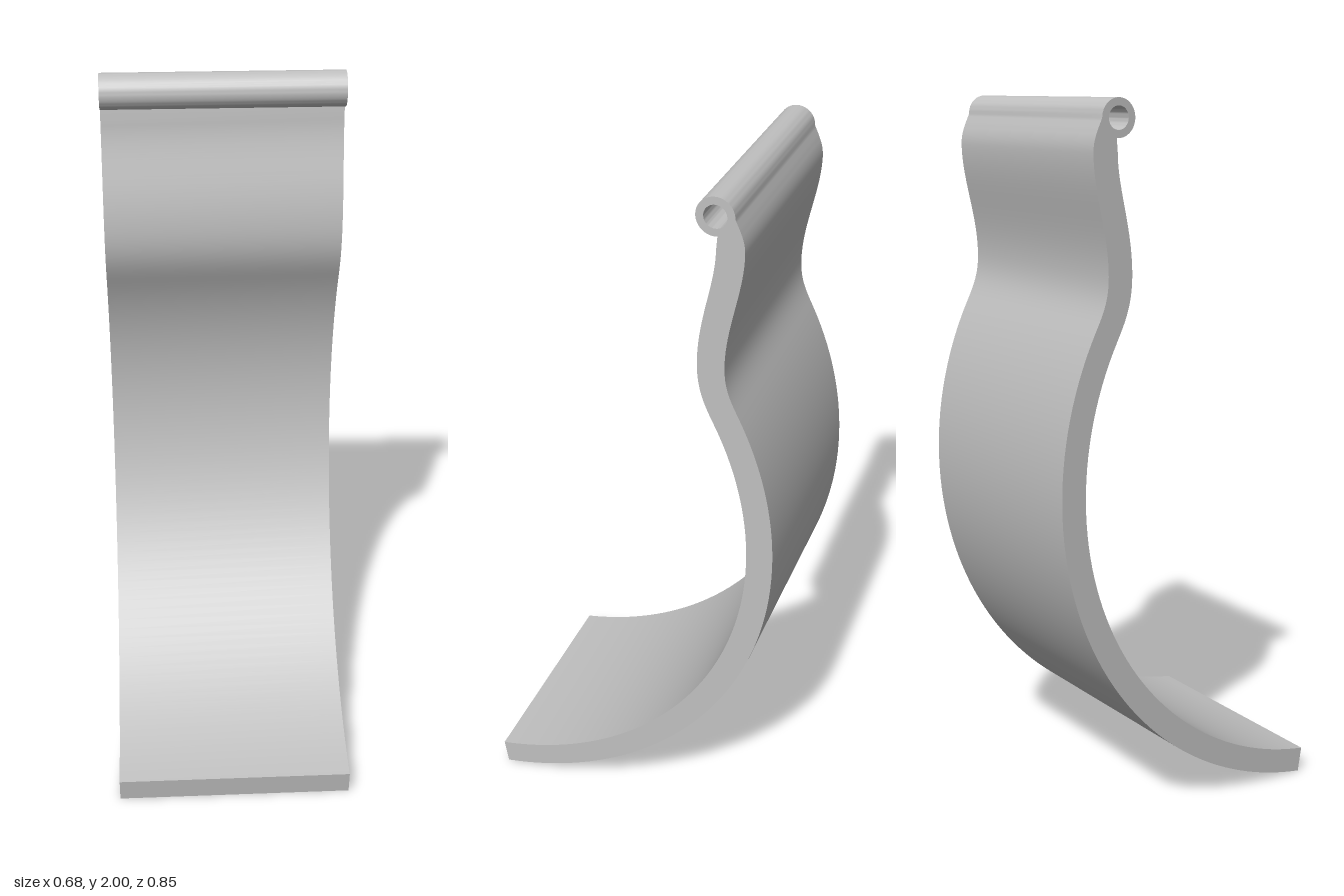
import * as THREE from 'three';
import { toCreasedNormals } from 'three/addons/utils/BufferGeometryUtils.js';

const WIDTH = 0.684, THICK = 0.073;

// Centre line of the strip in the side plane (x = backward, y = up)
function centreLine() {
  const v = (x, y) => new THREE.Vector2(x, y);
  const R = 0.9465, cx = -0.558, cy = 0.97;
  const a0 = Math.atan2(-0.972, 0.146), a1 = Math.asin(0.43 / R);
  const end = v(cx + R * Math.cos(a1), cy + R * Math.sin(a1));
  const path = new THREE.CurvePath();
  const big = new THREE.EllipseCurve(cx, cy, R, R, a0, a1);
  const bend = new THREE.CubicBezierCurve(
    end, v(end.x - 0.027, end.y + 0.053), v(0.242, 1.49), v(0.242, 1.555));
  const neck = new THREE.CubicBezierCurve(
    v(0.242, 1.555), v(0.242, 1.67), v(0.287, 1.77), v(0.287, 1.865));
  path.curves.push(big, bend, neck);
  // sample each piece with its normal
  const samples = [];
  [[big, 56], [bend, 14], [neck, 20]].forEach(([c, n], k) => {
    for (let i = k ? 1 : 0; i <= n; i++) {
      const t = c.getTangent(i / n);
      samples.push({ p: c.getPoint(i / n), n: v(t.y, -t.x) });
    }
  });
  return samples;
}

export function createModel() {
  const group = new THREE.Group();
  group.name = 'curvedClip';
  const metal = new THREE.MeshStandardMaterial({ color: 0xc0c0c0 });
  metal.name = 'grey metal';

  const line = centreLine();
  const offset = (d) => line.map(({ p, n }) => p.clone().addScaledVector(n, d));
  const outer = offset(THICK / 2), inner = offset(-THICK / 2).reverse();

  // Outline: up the back, round the hinge barrel, down the front
  const px = 0.247, py = 1.95, pr = 0.05;
  const shoulder = new THREE.CubicBezierCurve(
    outer[outer.length - 1], new THREE.Vector2(0.3235, 1.9),
    new THREE.Vector2(0.308, 1.925), new THREE.Vector2(px + pr, py)).getPoints(10).slice(1);
  const barrel = new THREE.EllipseCurve(px, py, pr, pr, 0, Math.PI * 1.54).getPoints(36).slice(1);
  const shape = new THREE.Shape([...outer, ...shoulder, ...barrel, ...inner]);

  // Pin hole through the barrel
  const hole = new THREE.Path();
  hole.absarc(px, py, 0.03, 0, Math.PI * 2, true);
  shape.holes.push(hole);

  let geo = new THREE.ExtrudeGeometry(shape, { depth: WIDTH, bevelEnabled: false, curveSegments: 32 });
  geo.translate(0, 0, -WIDTH / 2);
  geo.rotateY(Math.PI / 2);
  geo = toCreasedNormals(geo, 0.5);
  geo.clearGroups();

  const strip = new THREE.Mesh(geo, metal);
  strip.name = 'curvedStripWithHingeBarrel';
  group.add(strip);
  return group;
}
